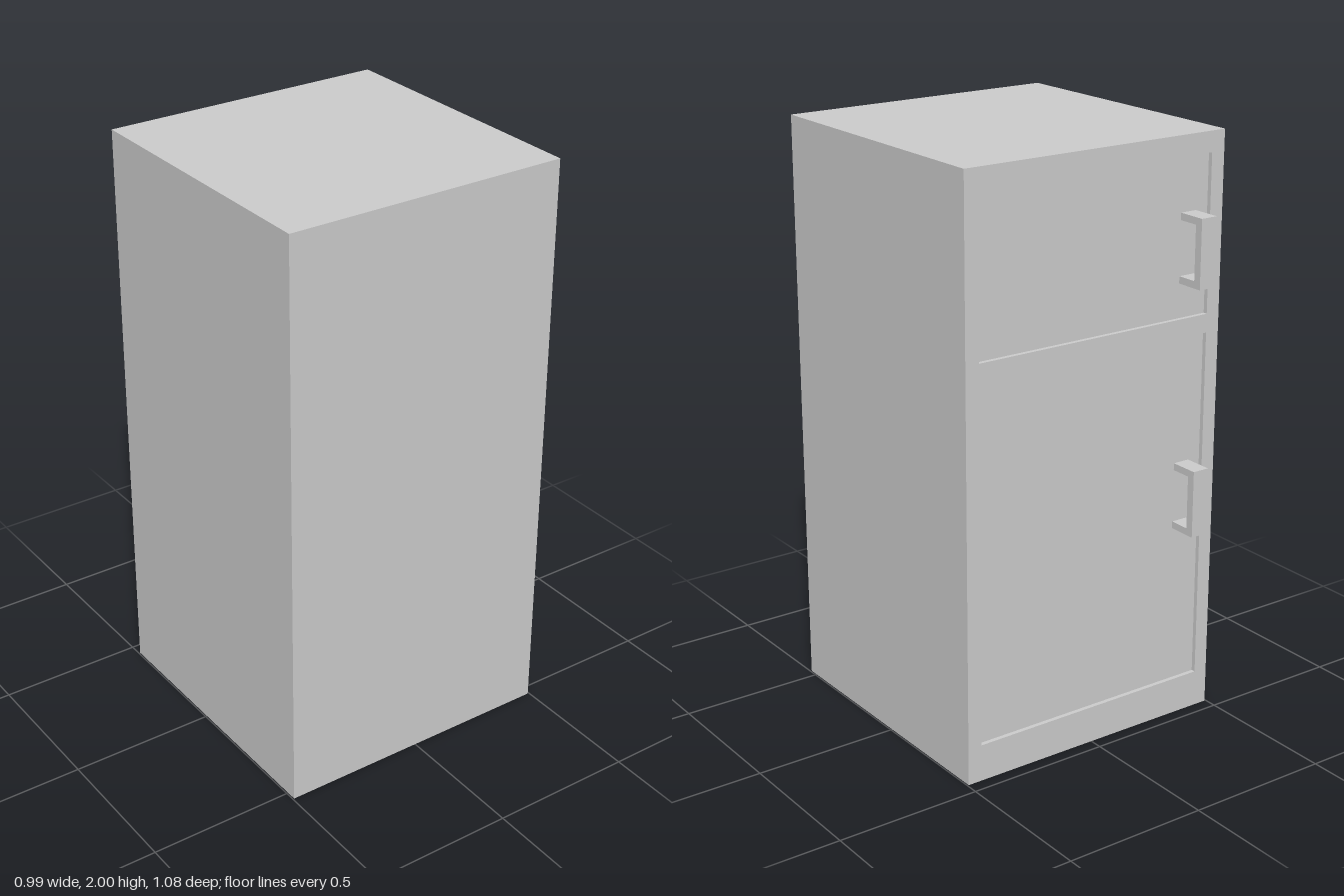
import * as THREE from 'three';

const HALF = 0.495, BACK = -0.455, FRONT = 0.535, RECESS = 0.015;
const material = new THREE.MeshStandardMaterial({ color: 0xcccccc, flatShading: true });

// Rectangle as a closed path, used for outlines and holes
function rect(Type, x0, y0, x1, y1) {
  return new Type([[x0, y0], [x1, y0], [x1, y1], [x0, y1]].map(([x, y]) => new THREE.Vector2(x, y)));
}

function part(name, geometry) {
  const mesh = new THREE.Mesh(geometry, material);
  mesh.name = name;
  return mesh;
}

// U-shaped pull handle: profile in (outward, y), extruded across its width
function makeHandle(name, y0, y1) {
  const t = 0.024, root = 0, out = 0.1, width = 0.06;
  const profile = new THREE.Shape([
    [root, y0], [out, y0], [out, y1], [root, y1],
    [root, y1 - t], [out - 0.028, y1 - t], [out - 0.028, y0 + t], [root, y0 + t],
  ].map(([x, y]) => new THREE.Vector2(x, y)));
  const geometry = new THREE.ExtrudeGeometry(profile, { depth: width, bevelEnabled: false });
  geometry.rotateY(Math.PI / 2); // outward becomes -z, width becomes +x
  geometry.translate(-0.398, 0, BACK + RECESS);
  return part(name, geometry);
}

export function createModel() {
  const group = new THREE.Group();
  group.name = 'refrigerator';

  // Cabinet, whose rear face forms the recessed door panels
  const depth = FRONT - BACK - RECESS;
  const cabinet = part('cabinet', new THREE.BoxGeometry(HALF * 2, 2, depth));
  cabinet.position.set(0, 1, FRONT - depth / 2);
  group.add(cabinet);

  // Raised frame around the two door panels
  const outline = rect(THREE.Shape, -HALF, 0, HALF, 2);
  for (const [y0, y1] of [[0.127, 1.342], [1.405, 1.931]]) {
    outline.holes.push(rect(THREE.Path, -0.445, y0, 0.445, y1));
  }
  const frame = part('doorFrame', new THREE.ExtrudeGeometry(outline, { depth: RECESS, bevelEnabled: false }));
  frame.position.z = BACK;
  group.add(frame);

  // One handle per door
  group.add(makeHandle('upperHandle', 1.52, 1.75), makeHandle('lowerHandle', 0.68, 0.91));
  return group;
}
